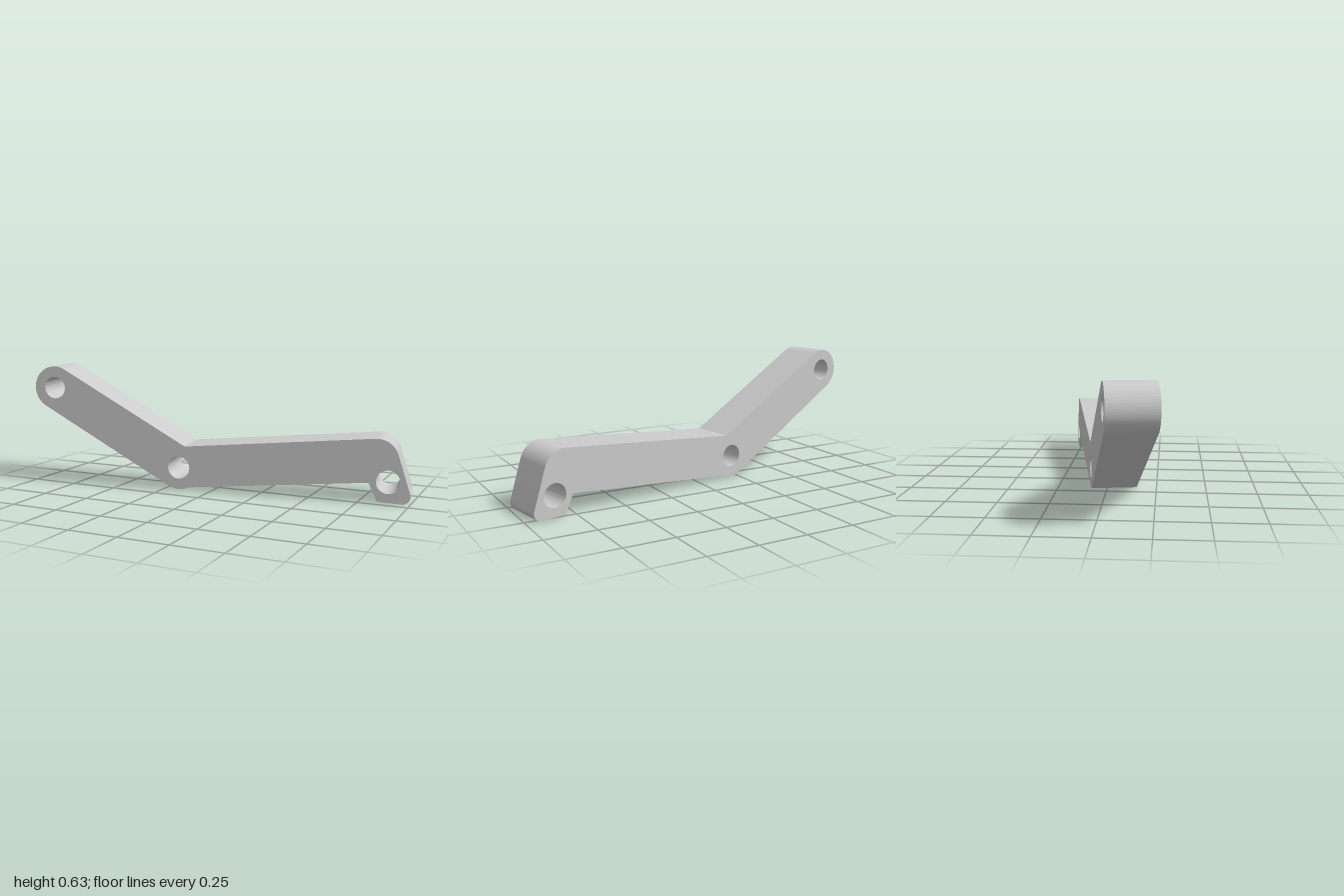
import * as THREE from 'three';
import { toCreasedNormals } from 'three/addons/utils/BufferGeometryUtils.js';

const rad = THREE.MathUtils.degToRad;

export function createModel() {
  const group = new THREE.Group();
  const depth = 0.228, armRadius = 0.114, holeRadius = 0.058;
  const upperPivot = [-0.881, 0.519], elbowPivot = [-0.185, 0.119], hookPivot = [0.886, 0.107];

  // Lever outline, drawn clockwise from the shoulder
  const outline = new THREE.Shape();
  const arc = ([x, y], r, from, to) => outline.absarc(x, y, r, rad(from), rad(to), true);
  arc([0.83, 0.2124], 0.107, 95.1, 16.4);        // shoulder above the hook
  arc([0.955, 0.04], 0.04, 16.4, -93);           // rounded toe of the hook
  outline.lineTo(0.835, 0.007);
  outline.lineTo(0.792, 0.099);                  // notch behind the hook
  arc(elbowPivot, armRadius, -63.3, -119.8);     // elbow boss
  arc(upperPivot, armRadius, -119.8, -299.8);    // round upper end
  outline.lineTo(-0.152, 0.233);                 // inner bend
  outline.closePath();

  // Three pivot holes
  for (const [x, y] of [upperPivot, elbowPivot, hookPivot]) {
    outline.holes.push(new THREE.Path().absarc(x, y, holeRadius, 0, Math.PI * 2, false));
  }

  const extruded = new THREE.ExtrudeGeometry(outline, { depth, bevelEnabled: false, curveSegments: 32 });
  extruded.translate(0, 0, -depth / 2);
  const lever = new THREE.Mesh(
    toCreasedNormals(extruded, rad(20)),
    new THREE.MeshStandardMaterial({ color: 0xcccccc })
  );
  lever.name = 'bentLever';
  lever.rotation.y = rad(9.7);
  group.add(lever);
  return group;
}
